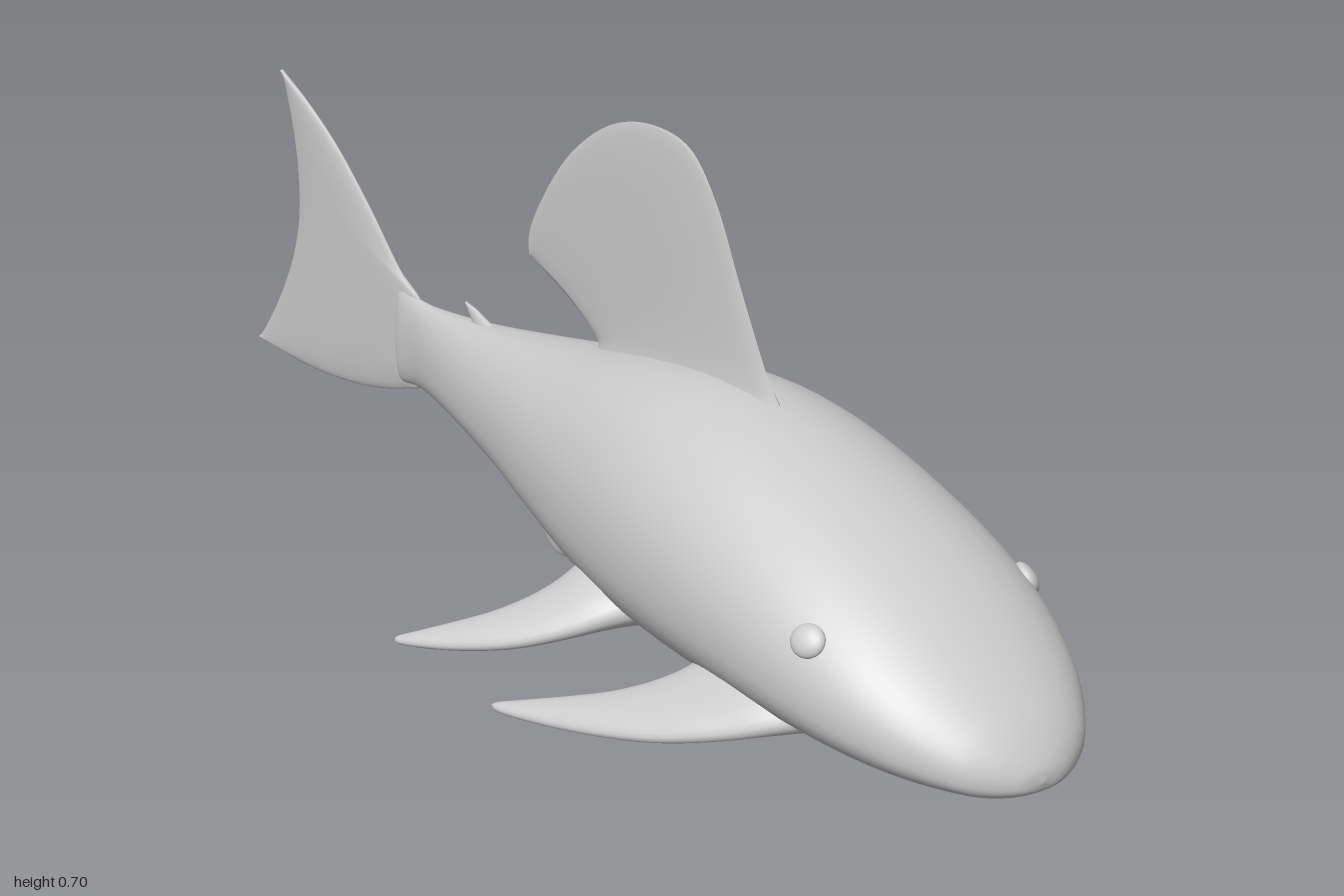
import * as THREE from 'three';

const material = new THREE.MeshStandardMaterial({ color: 0xcccccc, side: THREE.DoubleSide });

// Skin closed rings of points into one smooth surface, facing outwards
function loft(name, rings) {
  const n = rings[0].length;
  const points = rings.flat();
  const index = [];
  for (let i = 0; i < rings.length - 1; i++) {
    for (let j = 0; j < n; j++) {
      const k = (j + 1) % n;
      const a = i * n + j, b = i * n + k, c = a + n, d = b + n;
      index.push(a, c, b, b, c, d);
    }
  }
  const centre = new THREE.Vector3();
  points.forEach((p) => centre.addScaledVector(p, 1 / points.length));
  let volume = 0;
  for (let i = 0; i < index.length; i += 3) {
    const [a, b, c] = [0, 1, 2].map((k) => points[index[i + k]].clone().sub(centre));
    volume += a.dot(b.cross(c));
  }
  if (volume < 0) index.reverse();
  const geometry = new THREE.BufferGeometry().setFromPoints(points);
  geometry.setIndex(index);
  geometry.computeVertexNormals();
  const mesh = new THREE.Mesh(geometry, material);
  mesh.name = name;
  return mesh;
}

// Fin stretched between a leading and a trailing edge, with lens-shaped sections
function fin(name, lead, trail, halfThickness, normal = new THREE.Vector3(1, 0, 0), steps = 48) {
  const front = new THREE.CatmullRomCurve3(lead);
  const back = new THREE.CatmullRomCurve3(trail);
  const m = 24;
  const rings = [];
  for (let i = 0; i <= steps; i++) {
    const u = i / steps;
    const a = front.getPoint(u), b = back.getPoint(u);
    const ring = [];
    for (let j = 0; j < m; j++) {
      const angle = (j / m) * Math.PI * 2;
      ring.push(a.clone().lerp(b, (1 - Math.cos(angle)) / 2)
        .addScaledVector(normal, halfThickness(u) * Math.sin(angle)));
    }
    rings.push(ring);
  }
  return loft(name, rings);
}

const zy = (list) => list.map(([z, y]) => new THREE.Vector3(0, y, z));

function makeBody() {
  // z, bottom, top, half width
  const stations = [
    [0.995, 0.12, 0.122, 0], [0.99, 0.107, 0.14, 0.035], [0.97, 0.098, 0.168, 0.075],
    [0.94, 0.094, 0.197, 0.108], [0.88, 0.09, 0.242, 0.148], [0.8, 0.086, 0.292, 0.178],
    [0.7, 0.082, 0.338, 0.195], [0.58, 0.076, 0.378, 0.2], [0.46, 0.07, 0.404, 0.198],
    [0.34, 0.069, 0.408, 0.188], [0.2, 0.076, 0.388, 0.165], [0.05, 0.095, 0.352, 0.132],
    [-0.1, 0.112, 0.32, 0.095], [-0.25, 0.124, 0.29, 0.062], [-0.38, 0.13, 0.271, 0.034],
    [-0.45, 0.128, 0.267, 0.02], [-0.5, 0.12, 0.276, 0.015], [-0.512, 0.13, 0.26, 0.004],
  ];
  const spine = new THREE.CatmullRomCurve3(
    stations.map(([z, b, t]) => new THREE.Vector3(z, b, t)), false, 'catmullrom');
  const girth = new THREE.CatmullRomCurve3(
    stations.map(([z, , , w]) => new THREE.Vector3(z, w, 0)), false, 'catmullrom');
  const rings = [];
  for (let i = 0; i <= 102; i++) {
    const { x: z, y: bottom, z: top } = spine.getPoint(i / 102);
    const width = Math.max(0, girth.getPoint(i / 102).y);
    const middle = bottom + (top - bottom) * 0.42;
    const ring = [];
    for (let j = 0; j < 56; j++) {
      const angle = (j / 56) * Math.PI * 2;
      const c = Math.cos(angle), s = Math.sin(angle);
      // Rounded back, flatter belly
      const power = s < 0 ? 2 / 2.5 : 2 / 2.05;
      const x = Math.sign(c) * Math.abs(c) ** power * width;
      const rise = Math.abs(s) ** power;
      const y = s < 0 ? middle - (middle - bottom) * rise : middle + (top - middle) * rise;
      ring.push(new THREE.Vector3(x, y, z));
    }
    rings.push(ring);
  }
  return loft('body', rings);
}

// Swept-back side fin; z is scaled about the tip to fit each pair
function sideFin(name, side, tipZ, scale, drop) {
  const place = (list) => list.map(([x, y, z]) =>
    new THREE.Vector3(x * side, y - drop, tipZ + (z - 0.335) * scale));
  const lead = place([[0.1, 0.125, 0.76], [0.17, 0.11, 0.715], [0.215, 0.09, 0.665], [0.262, 0.066, 0.59],
    [0.3, 0.048, 0.505], [0.332, 0.033, 0.41], [0.348, 0.026, 0.345], [0.345, 0.026, 0.335]]);
  const trail = place([[0.1, 0.13, 0.5], [0.165, 0.115, 0.525], [0.205, 0.096, 0.505], [0.245, 0.077, 0.47],
    [0.28, 0.06, 0.425], [0.312, 0.043, 0.377], [0.335, 0.03, 0.342], [0.345, 0.026, 0.335]]);
  const normal = new THREE.Vector3(0.4 * side, 0.92, 0);
  return fin(name, lead, trail, (u) => 0.022 * (1 - u) + 0.003 + 0.03 * Math.exp(-u * 9), normal);
}

export function createModel() {
  const model = new THREE.Group();
  model.name = 'fish';
  model.add(makeBody());

  // Tall fin on the back, flared where it joins the body
  model.add(fin('dorsalFin',
    zy([[0.5, 0.375], [0.45, 0.42], [0.385, 0.52], [0.315, 0.638], [0.26, 0.688], [0.18, 0.698],
      [0.08, 0.675], [-0.02, 0.612], [-0.09, 0.535], [-0.133, 0.462], [-0.13, 0.432]]),
    zy([[0.03, 0.32], [0.045, 0.358], [0.02, 0.376], [-0.01, 0.39], [-0.04, 0.402], [-0.07, 0.412],
      [-0.09, 0.418], [-0.105, 0.423], [-0.117, 0.427], [-0.125, 0.43], [-0.13, 0.432]]),
    (u) => 0.011 - 0.008 * u + 0.035 * Math.exp(-u * 16), undefined, 80));

  // Forked tail with a longer lower lobe
  model.add(fin('tailFin',
    zy([[-0.995, 0.037], [-0.9, 0.037], [-0.8, 0.043], [-0.7, 0.056], [-0.6, 0.077], [-0.5, 0.108],
      [-0.44, 0.135], [-0.43, 0.2], [-0.44, 0.26], [-0.5, 0.29], [-0.6, 0.37], [-0.7, 0.44],
      [-0.8, 0.49], [-0.882, 0.52]]),
    zy([[-0.995, 0.037], [-0.985, 0.046], [-0.965, 0.068], [-0.945, 0.092], [-0.92, 0.125],
      [-0.895, 0.162], [-0.865, 0.215], [-0.84, 0.285], [-0.836, 0.35], [-0.843, 0.41],
      [-0.852, 0.445], [-0.862, 0.475], [-0.872, 0.502], [-0.882, 0.52]]),
    (u) => 0.003 + 0.007 * Math.sin(Math.PI * u), undefined, 90));

  // Small rounded fin under the belly
  model.add(fin('analFin',
    zy([[0.07, 0.12], [0.035, 0.075], [0, 0.032], [-0.03, 0.01], [-0.06, 0.002], [-0.088, 0.017], [-0.098, 0.05]]),
    zy([[-0.02, 0.13], [-0.025, 0.1], [-0.04, 0.097], [-0.06, 0.1], [-0.08, 0.096], [-0.093, 0.08], [-0.098, 0.05]]),
    (u) => 0.004 + 0.012 * (1 - u)));

  // Tiny spine ahead of the tail
  model.add(fin('rearSpine',
    zy([[-0.19, 0.285], [-0.25, 0.294], [-0.285, 0.303], [-0.313, 0.306]]),
    zy([[-0.31, 0.265], [-0.295, 0.284], [-0.303, 0.293], [-0.313, 0.306]]),
    (u) => 0.009 - 0.007 * u));

  // Paired fins and eyes
  for (const [label, side] of [['left', 1], ['right', -1]]) {
    model.add(sideFin(label + 'PectoralFin', side, 0.335, 1, 0));
    model.add(sideFin(label + 'PelvicFin', side, 0.083, 0.68, 0.011));
    const eye = new THREE.Mesh(new THREE.SphereGeometry(1, 24, 16), material);
    eye.name = label + 'Eye';
    eye.scale.set(0.023, 0.021, 0.011);
    eye.position.set(0.165 * side, 0.245, 0.757);
    eye.lookAt(eye.position.x + 0.78 * side, eye.position.y + 0.55, eye.position.z + 0.3);
    model.add(eye);
  }
  return model;
}
